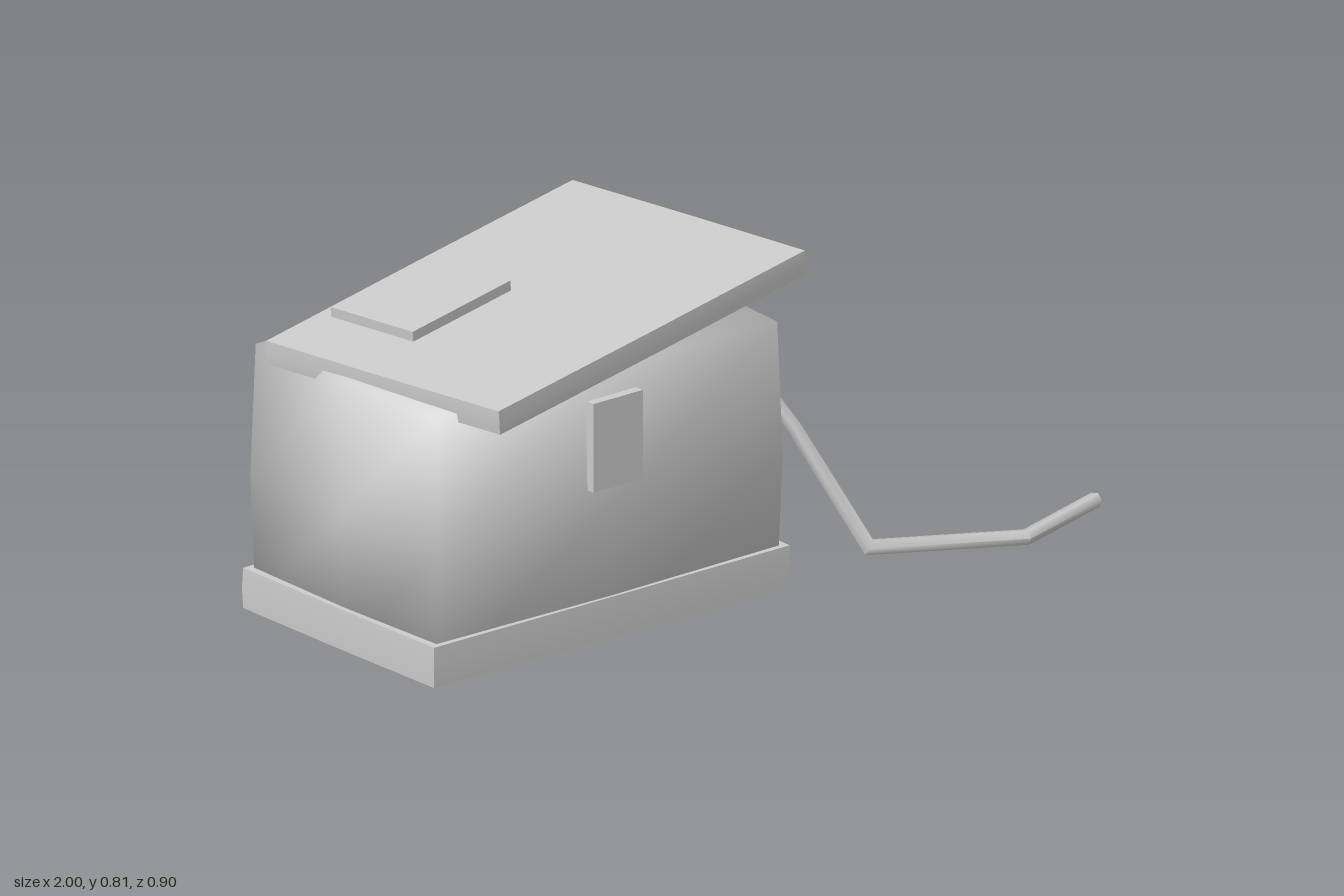
import * as THREE from 'three';
import { mergeVertices, toCreasedNormals } from 'three/addons/utils/BufferGeometryUtils.js';

const grey = new THREE.MeshStandardMaterial({ color: 0xcccccc });

// Box whose faces swell by `bulge` at their centres and by half that at edge midpoints
function bulgedBox(w, h, d, bulge, crease) {
  let geo = new THREE.BoxGeometry(w, h, d, 2, 2, 2);
  const pos = geo.attributes.position;
  const half = [w / 2, h / 2, d / 2];
  for (let i = 0; i < pos.count; i++) {
    const p = [pos.getX(i), pos.getY(i), pos.getZ(i)];
    const u = p.map((v, a) => v / half[a]);
    const q = p.map((v, a) => {
      const b = u[(a + 1) % 3], c = u[(a + 2) % 3];
      return v + u[a] * bulge[a] * (2 - b * b - c * c) / 2;
    });
    pos.setXYZ(i, ...q);
  }
  geo.deleteAttribute('uv');
  geo.deleteAttribute('normal');
  geo = mergeVertices(geo);
  geo.computeVertexNormals();
  return crease ? toCreasedNormals(geo, crease) : geo;
}

// Hexagonal rod along a bent line, with mitred corners and closed ends
function bentRod(points, radius, sides = 6) {
  const pts = points.map(p => new THREE.Vector3(...p));
  const dirs = pts.slice(1).map((p, i) => p.clone().sub(pts[i]).normalize());
  const a = new THREE.Vector3(0, 1, 0).cross(dirs[0]).normalize();
  const b = dirs[0].clone().cross(a);
  let ring = [];
  for (let s = 0; s < sides; s++) {
    const t = s / sides * Math.PI * 2;
    ring.push(pts[0].clone().addScaledVector(a, radius * Math.cos(t)).addScaledVector(b, radius * Math.sin(t)));
  }
  const rings = [ring];
  for (let i = 1; i < pts.length; i++) {
    const dir = dirs[i - 1];
    const n = dir.clone().add(dirs[i] || dir).normalize();
    ring = ring.map(v => v.clone().addScaledVector(dir, pts[i].clone().sub(v).dot(n) / dir.dot(n)));
    rings.push(ring);
  }
  const verts = [...rings.flat(), pts[0], pts[pts.length - 1]];
  const index = [];
  const first = rings.length * sides, last = first + 1, end = first - sides;
  for (let s = 0; s < sides; s++) {
    const t = (s + 1) % sides;
    for (let r = 0; r < rings.length - 1; r++) {
      const o = r * sides, p = o + sides;
      index.push(o + s, o + t, p + t, o + s, p + t, p + s);
    }
    index.push(first, t, s, last, end + s, end + t);
  }
  const geo = new THREE.BufferGeometry().setFromPoints(verts);
  geo.setIndex(index);
  return toCreasedNormals(geo, Math.PI * 0.37);
}

export function createModel() {
  const model = new THREE.Group();
  function add(name, geo, x = 0, y = 0, z = 0, parent = model) {
    const mesh = new THREE.Mesh(geo, grey);
    mesh.name = name;
    mesh.position.set(x, y, z);
    parent.add(mesh);
    return mesh;
  }

  // Swollen body on a base slab
  add('body', bulgedBox(1.03, 0.651, 0.66, [0.018, 0.02, 0.018]), -0.45, 0.35, -0.03);
  add('base', bulgedBox(1.076, 0.1, 0.696, [0.004, 0, 0.004], Math.PI / 4), -0.45, 0.07, -0.03);

  // Lid and its raised plate, turned and tilted alike
  const turn = THREE.MathUtils.degToRad(9.2), tilt = THREE.MathUtils.degToRad(5.1);
  const lid = add('lid', bulgedBox(1.088, 0.06, 0.718, [0.004, 0, 0.004], Math.PI / 4), -0.405, 0.733, -0.012);
  const plate = add('lidPlate', new THREE.BoxGeometry(0.347, 0.025, 0.254), -0.659, 0.782, -0.127);
  for (const part of [lid, plate]) part.rotation.set(0, turn, tilt, 'YXZ');

  // Plate on the front wall
  add('frontPlate', new THREE.BoxGeometry(0.15, 0.22, 0.024), -0.447, 0.51, 0.325);

  // Side handle with a trailing cord
  add('handle', bentRod([
    [0.085, 0.463, 0.092], [0.178, 0.513, 0.042], [0.178, 0.513, -0.105], [0.085, 0.463, -0.152],
  ], 0.017));
  add('cord', bentRod([
    [0.183, 0.518, -0.032], [0.315, 0.285, 0.062], [0.387, 0.024, 0.247],
    [0.712, 0.024, 0.428], [0.995, 0.024, 0.338],
  ], 0.019));

  return model;
}
